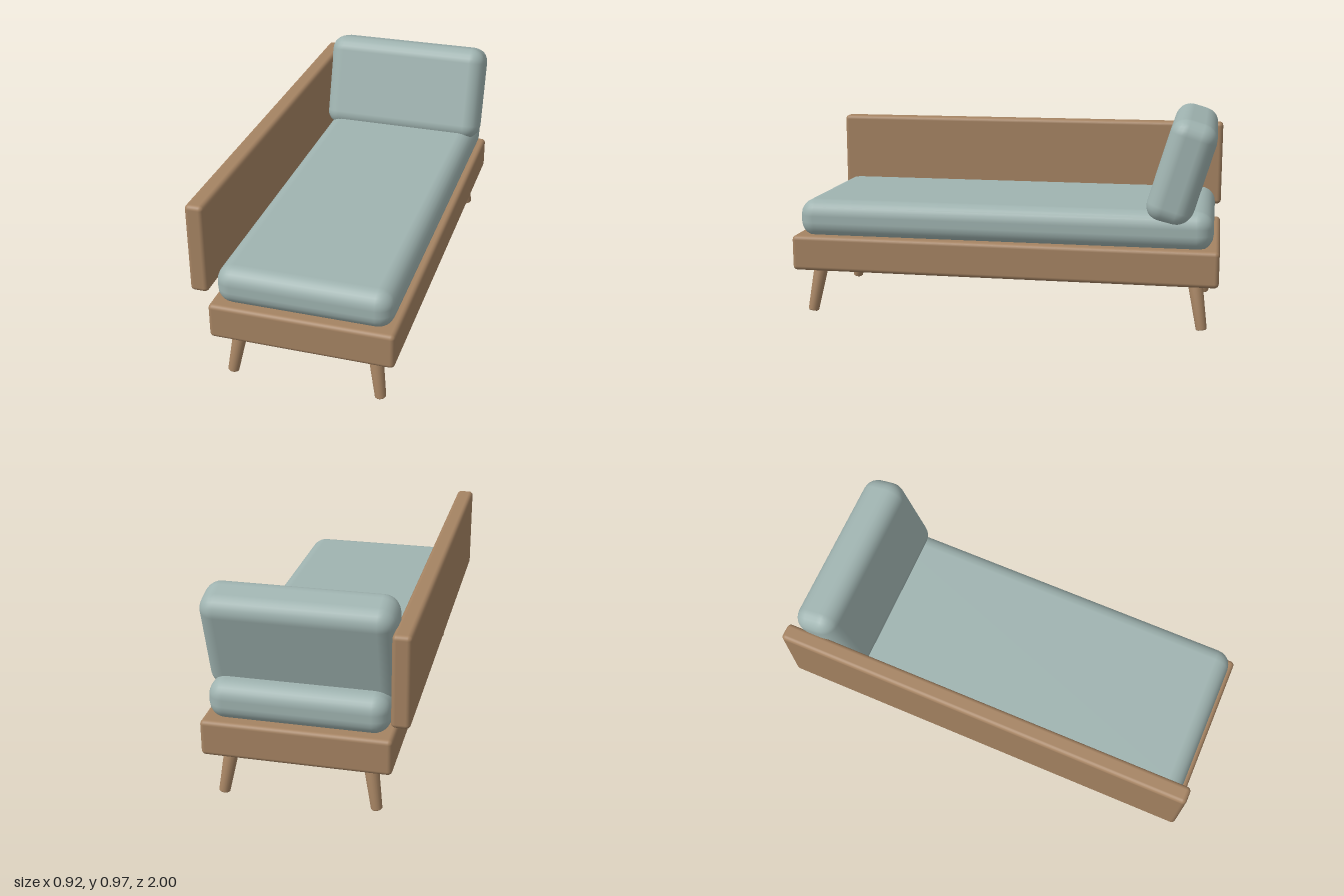
import * as THREE from 'three';
import { RoundedBoxGeometry } from 'three/addons/geometries/RoundedBoxGeometry.js';

export function createModel() {
  const model = new THREE.Group();
  model.name = 'daybed';

  const wood = new THREE.MeshStandardMaterial({ color: 0xa58362 });
  wood.name = 'wood';
  const fabric = new THREE.MeshStandardMaterial({ color: 0x9fb3b0 });
  fabric.name = 'fabric';

  const centreX = 0.036; // the bed sits beside the side panel, off the middle

  // Rounded block, placed by its centre
  function block(name, material, size, radius, position) {
    const mesh = new THREE.Mesh(new RoundedBoxGeometry(...size, 3, radius), material);
    mesh.name = name;
    mesh.position.set(...position);
    model.add(mesh);
    return mesh;
  }

  // Wooden base and side panel
  block('base', wood, [0.842, 0.167, 2], 0.02, [centreX, 0.3035, 0]);
  block('sidePanel', wood, [0.083, 0.42, 2], 0.02, [-0.4175, 0.66, 0]);

  // Mattress and leaning back cushion
  block('mattress', fabric, [0.8, 0.182, 1.945], 0.075, [centreX, 0.464, 0.002]);
  const cushion = block('backCushion', fabric, [0.842, 0.486, 0.214], 0.075, [centreX, 0.728, -0.82]);
  cushion.rotation.x = -0.29;

  // Tapered legs, splayed outwards towards the corners
  const legLength = 0.25;
  const legProfile = [
    [0, 0], [0.02, 0], [0.025, 0.005], [0.035, legLength], [0, legLength],
  ].map(([r, y]) => new THREE.Vector2(r, y));
  const legGeometry = new THREE.LatheGeometry(legProfile, 20);
  const up = new THREE.Vector3(0, 1, 0);

  for (const sx of [-1, 1]) {
    for (const sz of [-1, 1]) {
      const leg = new THREE.Mesh(legGeometry, wood);
      leg.name = (sz > 0 ? 'front' : 'back') + (sx > 0 ? 'Left' : 'Right') + 'Leg';
      leg.position.set(centreX + sx * 0.346, 0.006, sz * 0.929);
      const axis = new THREE.Vector3(-sx * 0.035, 0.214, -sz * 0.035).normalize();
      leg.quaternion.setFromUnitVectors(up, axis);
      model.add(leg);
    }
  }

  return model;
}
